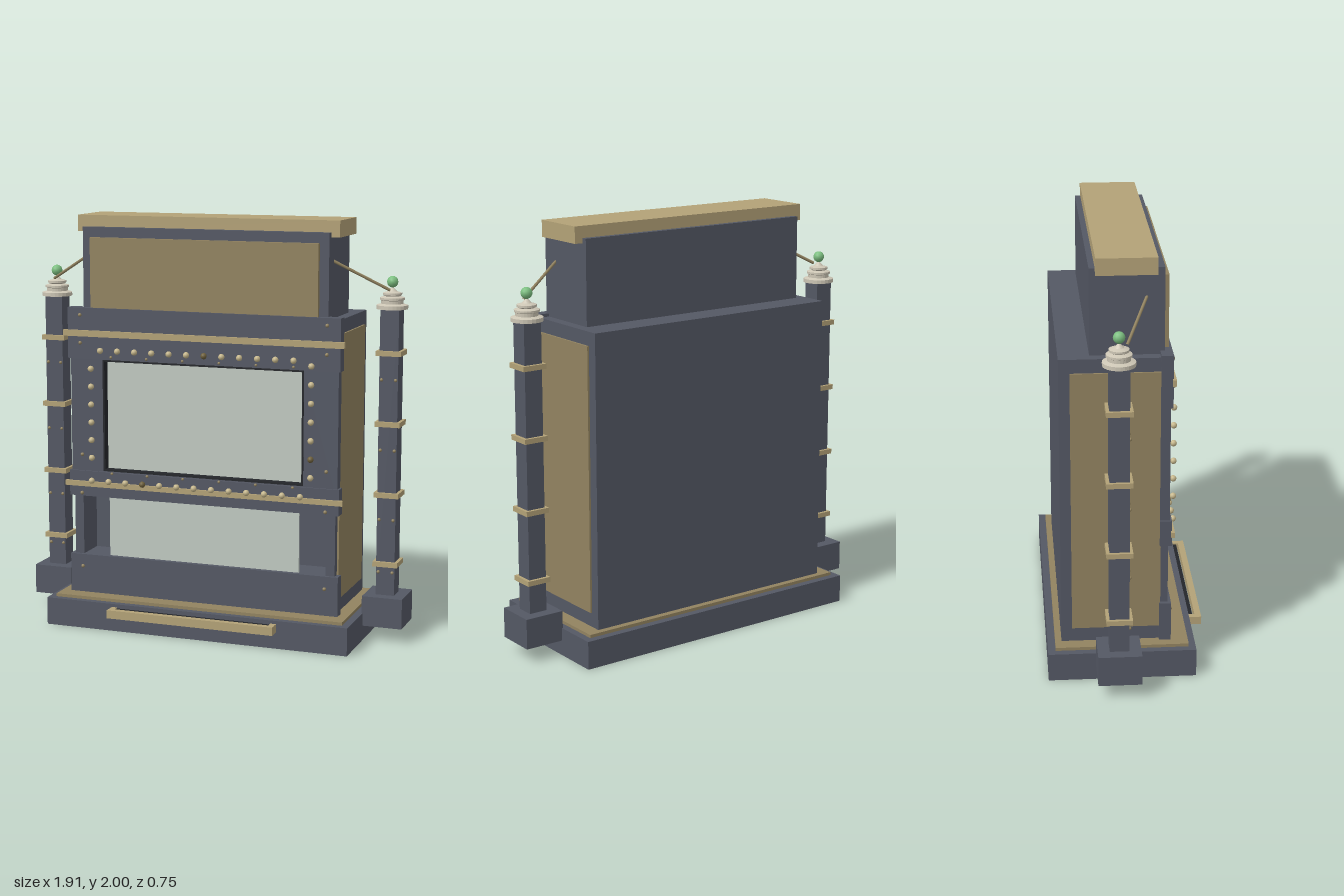
import * as THREE from 'three';

const mat = (name, color) => {
  const m = new THREE.MeshStandardMaterial({ color });
  m.name = name;
  return m;
};

export function createModel() {
  const steel = mat('blue grey steel', 0x545864);
  const brass = mat('light brass', 0xb3a277);
  const bronze = mat('dark brass', 0x928360);
  const glass = mat('pale glass', 0xc1cac2);
  const black = mat('black lining', 0x24262a);
  const cream = mat('cream porcelain', 0xcdc6b5);
  const green = mat('green glass', 0x7cbf80);
  const lit = mat('warm bulb', 0xc6b78c);
  const unlit = mat('unlit bulb', 0x6e603c);

  const root = new THREE.Group();
  root.name = 'cabinet';

  const add = (name, geo, material, parent = root) => {
    const m = new THREE.Mesh(geo, material);
    m.name = name;
    parent.add(m);
    return m;
  };
  // Box given by its limits on each axis
  const box = (name, x0, x1, y0, y1, z0, z1, material, parent) => {
    const m = add(name, new THREE.BoxGeometry(x1 - x0, y1 - y0, z1 - z0), material, parent);
    m.position.set((x0 + x1) / 2, (y0 + y1) / 2, (z0 + z1) / 2);
    return m;
  };
  const wide = (name, half, y0, y1, z0, z1, material) => box(name, -half, half, y0, y1, z0, z1, material);
  const ball = (name, x, y, z, r, material, parent) => {
    const m = add(name, new THREE.SphereGeometry(r, 12, 8), material, parent);
    m.position.set(x, y, z);
    return m;
  };

  // Plinth and its brass trim
  wide('plinth', 0.765, 0, 0.135, -0.375, 0.313, steel);
  wide('plinthTrim', 0.73, 0.135, 0.15, -0.34, 0.28, bronze);

  // Foot rail on the plinth
  wide('railSlot', 0.39, 0.072, 0.115, 0.313, 0.335, black);
  wide('footRail', 0.42, 0.08, 0.12, 0.345, 0.375, brass);
  for (const s of [-1, 1]) {
    box('railBracket', s * 0.405 - 0.014, s * 0.405 + 0.014, 0.08, 0.12, 0.313, 0.345, brass);
  }

  // Main cabinet with a hollow bay at the lower front
  wide('cabinetBack', 0.665, 0.15, 1.545, -0.31, 0.03, steel);
  wide('cabinetLowerFront', 0.665, 0.15, 0.34, 0.03, 0.19, steel);
  wide('cabinetUpperFront', 0.665, 0.64, 1.545, 0.03, 0.145, steel);
  for (const s of [-1, 1]) {
    box('bayPost', s * 0.6425 - 0.0225, s * 0.6425 + 0.0225, 0.34, 0.64, 0.03, 0.185, steel);
    box('sidePanel', s * 0.6695 - 0.0045, s * 0.6695 + 0.0045, 0.22, 1.48, -0.26, 0.15, bronze);
  }
  wide('lowerGlass', 0.485, 0.34, 0.64, 0.165, 0.175, glass);

  // Framed main screen, set back in its opening
  const rect = (shape, x, y0, y1) => shape.moveTo(-x, y0).lineTo(x, y0).lineTo(x, y1).lineTo(-x, y1).closePath();
  const frameGeo = (x, y0, y1, hx, hy0, hy1, depth) => {
    const shape = rect(new THREE.Shape(), x, y0, y1);
    shape.holes.push(rect(new THREE.Path(), hx, hy0, hy1));
    return new THREE.ExtrudeGeometry(shape, { depth, bevelEnabled: false });
  };
  add('screenSurround', frameGeo(0.675, 0.7, 1.4, 0.508, 0.764, 1.311, 0.045), steel).position.z = 0.145;
  add('screenLining', frameGeo(0.508, 0.764, 1.311, 0.499, 0.773, 1.302, 0.047), black).position.z = 0.145;
  wide('screen', 0.499, 0.773, 1.302, 0.145, 0.154, glass);

  // Cross bands over the front, with brass rails
  wide('lowerBand', 0.685, 0.15, 0.34, 0.145, 0.2, steel);
  wide('middleBand', 0.675, 0.635, 0.76, 0.145, 0.2, steel);
  for (const s of [-1, 1]) {
    box('middleBandEnd', s * 0.68 - 0.005, s * 0.68 + 0.005, 0.635, 0.76, 0.145, 0.2, steel);
  }
  wide('upperBand', 0.685, 1.312, 1.56, 0.145, 0.2, steel);
  wide('lowerRail', 0.705, 0.685, 0.71, 0.195, 0.212, brass);
  wide('upperRail', 0.705, 1.422, 1.452, 0.195, 0.212, brass);

  // Bulbs running clockwise round the screen, some unlit
  const spots = [];
  const step = 0.0885;
  for (let i = 0; i < 12; i++) spots.push([-0.51 + i * step, 1.357]);
  for (let i = 0; i < 7; i++) spots.push([0.55, 1.335 - i * 0.0875]);
  for (let i = 0; i < 13; i++) spots.push([0.5 - i * step, 0.716]);
  for (let i = 0; i < 6; i++) spots.push([-0.56, 0.83 + i * 0.0875]);
  spots.forEach(([x, y], i) => ball('bulb', x, y, 0.215, 0.015, i % 11 === 6 ? unlit : lit));

  // Small screws on the bands and along the screen edge
  for (const s of [-1, 1]) {
    for (const y of [0.28, 0.65, 0.84, 1.39, 1.525]) {
      ball('screw', s * 0.62, y, y === 0.84 ? 0.192 : 0.202, 0.009, bronze);
    }
  }
  for (let i = 0; i < 6; i++) {
    ball('screw', -0.46 + i * 0.184, 1.325, 0.201, 0.007, bronze);
    ball('screw', -0.46 + i * 0.184, 0.755, 0.201, 0.007, bronze);
  }

  // Sign box on top
  wide('signBox', 0.615, 1.545, 1.945, -0.17, 0.165, steel);
  wide('signPanel', 0.57, 1.56, 1.897, 0.165, 0.187, bronze);
  wide('signCap', 0.655, 1.922, 2.0, -0.143, 0.13, brass);

  // Side columns with porcelain caps, green lamps and stay rods
  const capProfile = [
    [0, 1.585], [0.074, 1.585], [0.074, 1.603], [0.052, 1.61], [0.052, 1.625], [0.058, 1.628],
    [0.058, 1.638], [0.036, 1.645], [0.045, 1.65], [0.045, 1.66], [0.022, 1.667], [0, 1.69],
  ].map(([x, y]) => new THREE.Vector2(x, y));
  const capGeo = new THREE.LatheGeometry(capProfile, 24).toNonIndexed();
  capGeo.computeVertexNormals();

  for (const s of [-1, 1]) {
    const column = new THREE.Group();
    column.name = s > 0 ? 'leftColumn' : 'rightColumn';
    column.position.set(s * 0.858, 0, -0.055);
    root.add(column);
    box('columnFoot', -0.098, 0.098, 0.073, 0.218, -0.1, 0.1, steel, column);
    box('columnShaft', -0.045, 0.045, 0.218, 1.585, -0.045, 0.045, steel, column);
    for (const y of [0.37, 0.705, 1.045, 1.38]) {
      box('columnBand', -0.06, 0.06, y - 0.012, y + 0.012, -0.06, 0.06, brass, column);
    }
    for (const y of [0.33, 0.585, 0.92, 1.255]) {
      for (const x of [-0.034, 0.034]) ball('columnScrew', x, y, 0.046, 0.008, bronze, column);
    }
    add('columnCap', capGeo, cream, column);
    ball('lamp', 0, 1.711, 0, 0.027, green, column);

    const a = new THREE.Vector3(s * 0.855, 1.675, -0.02);
    const b = new THREE.Vector3(s * 0.61, 1.812, 0.085);
    add('stayRod', new THREE.TubeGeometry(new THREE.LineCurve3(a, b), 1, 0.007, 8), bronze);
  }

  return root;
}
